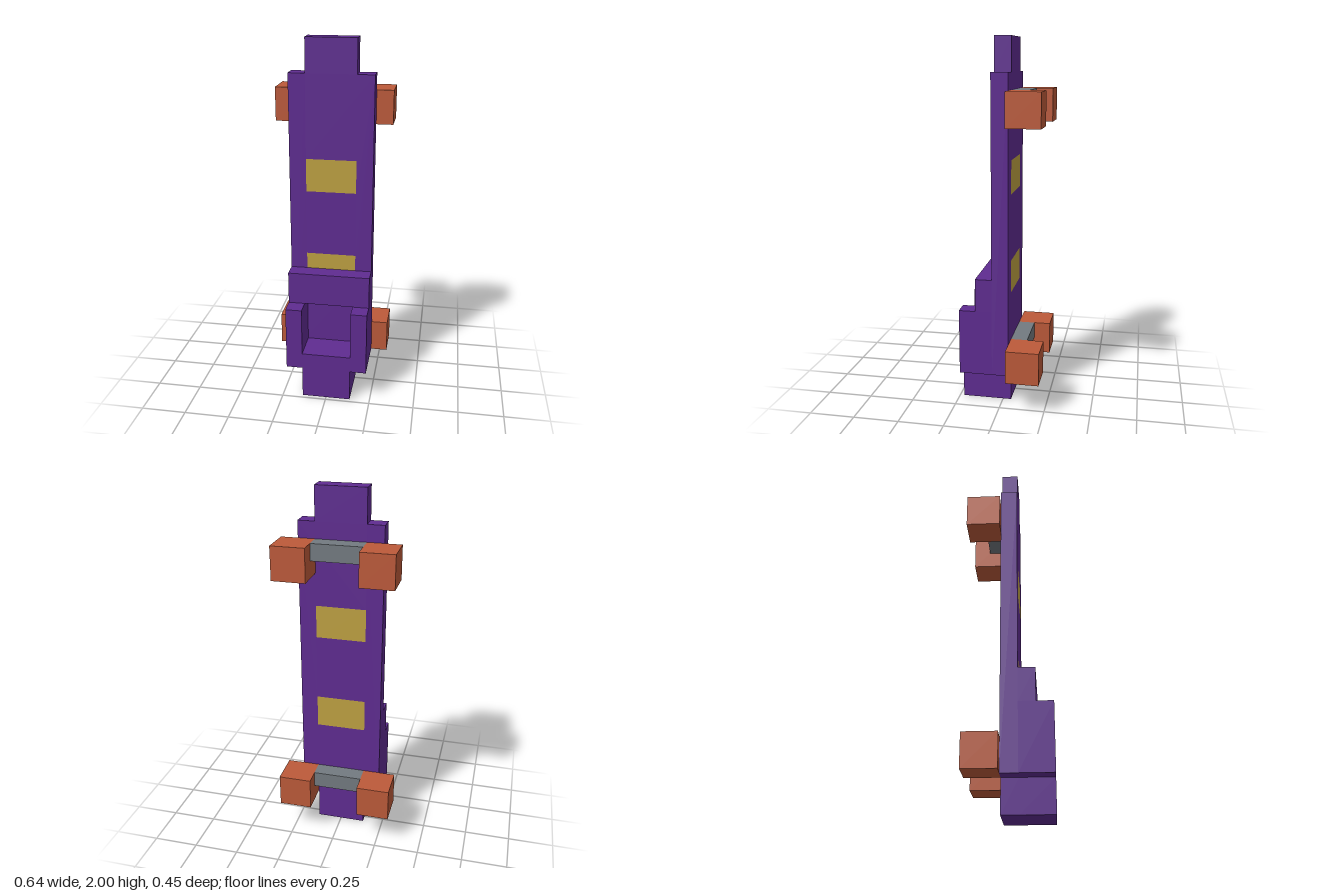
import * as THREE from 'three';

const U = 2 / 22; // one grid cell

function material(name, color) {
  const m = new THREE.MeshStandardMaterial({ color });
  m.name = name;
  return m;
}

// Closed polygon path from grid points
function trace(path, points) {
  points.forEach(([x, y], i) => (i ? path.lineTo(x * U, y * U) : path.moveTo(x * U, y * U)));
  path.closePath();
  return path;
}

export function createModel() {
  const model = new THREE.Group();
  model.name = 'skateboard';
  const purple = material('purple', 0x5f2c91);
  const orange = material('orange', 0xbc5a3a);
  const grey = material('grey', 0x737a80);
  const yellow = material('yellow', 0xbea142);

  const add = (parent, name, geometry, mat) => {
    const mesh = new THREE.Mesh(geometry, mat);
    mesh.name = name;
    parent.add(mesh);
    return mesh;
  };
  // Box between two grid corners
  const box = (parent, name, mat, [x0, y0, z0], [x1, y1, z1]) => {
    const g = new THREE.BoxGeometry((x1 - x0) * U, (y1 - y0) * U, (z1 - z0) * U);
    g.translate((x0 + x1) / 2 * U, (y0 + y1) / 2 * U, (z0 + z1) / 2 * U);
    return add(parent, name, g, mat);
  };
  // Outline in x and y pushed out from z0 to z1
  const slab = (parent, name, mat, shape, z0, z1) => {
    const g = new THREE.ExtrudeGeometry(shape, { depth: (z1 - z0) * U, bevelEnabled: false });
    g.translate(0, 0, z0 * U);
    return add(parent, name, g, mat);
  };

  // Deck with a narrow nose and tail, and flush inlays running through it
  const deck = trace(new THREE.Shape(), [
    [-1.5, 0], [1.5, 0], [1.5, 2], [2.5, 2], [2.5, 20], [1.5, 20],
    [1.5, 22], [-1.5, 22], [-1.5, 20], [-2.5, 20], [-2.5, 2], [-1.5, 2],
  ]);
  for (const y of [7, 13]) {
    deck.holes.push(trace(new THREE.Path(), [[-1.5, y], [-1.5, y + 2], [1.5, y + 2], [1.5, y]]));
    box(model, 'inlay', yellow, [-1.5, y, -0.5], [1.5, y + 2, 0.5]);
  }
  slab(model, 'deck', purple, deck, -0.5, 0.5);

  // Raised tail: U-shaped wall around a pocket, with a lower step above it
  const tail = trace(new THREE.Shape(), [
    [-1.5, 0], [1.5, 0], [1.5, 2], [2.5, 2], [2.5, 6], [1.5, 6],
    [1.5, 3], [-1.5, 3], [-1.5, 6], [-2.5, 6], [-2.5, 2], [-1.5, 2],
  ]);
  slab(model, 'tailPocket', purple, tail, 0.5, 2.5);
  box(model, 'tailStep', purple, [-2.5, 6, 0.5], [2.5, 8, 1.5]);

  // Trucks: an axle with a square wheel at each end
  for (const [name, y] of [['lowerTruck', 2], ['upperTruck', 17]]) {
    const truck = new THREE.Group();
    truck.name = name;
    model.add(truck);
    box(truck, 'axle', grey, [-1.5, y + 1, -1.5], [1.5, y + 2, -0.5]);
    box(truck, 'rightWheel', orange, [-3.5, y, -2.5], [-1.5, y + 2, -0.5]);
    box(truck, 'leftWheel', orange, [1.5, y, -2.5], [3.5, y + 2, -0.5]);
  }
  return model;
}
